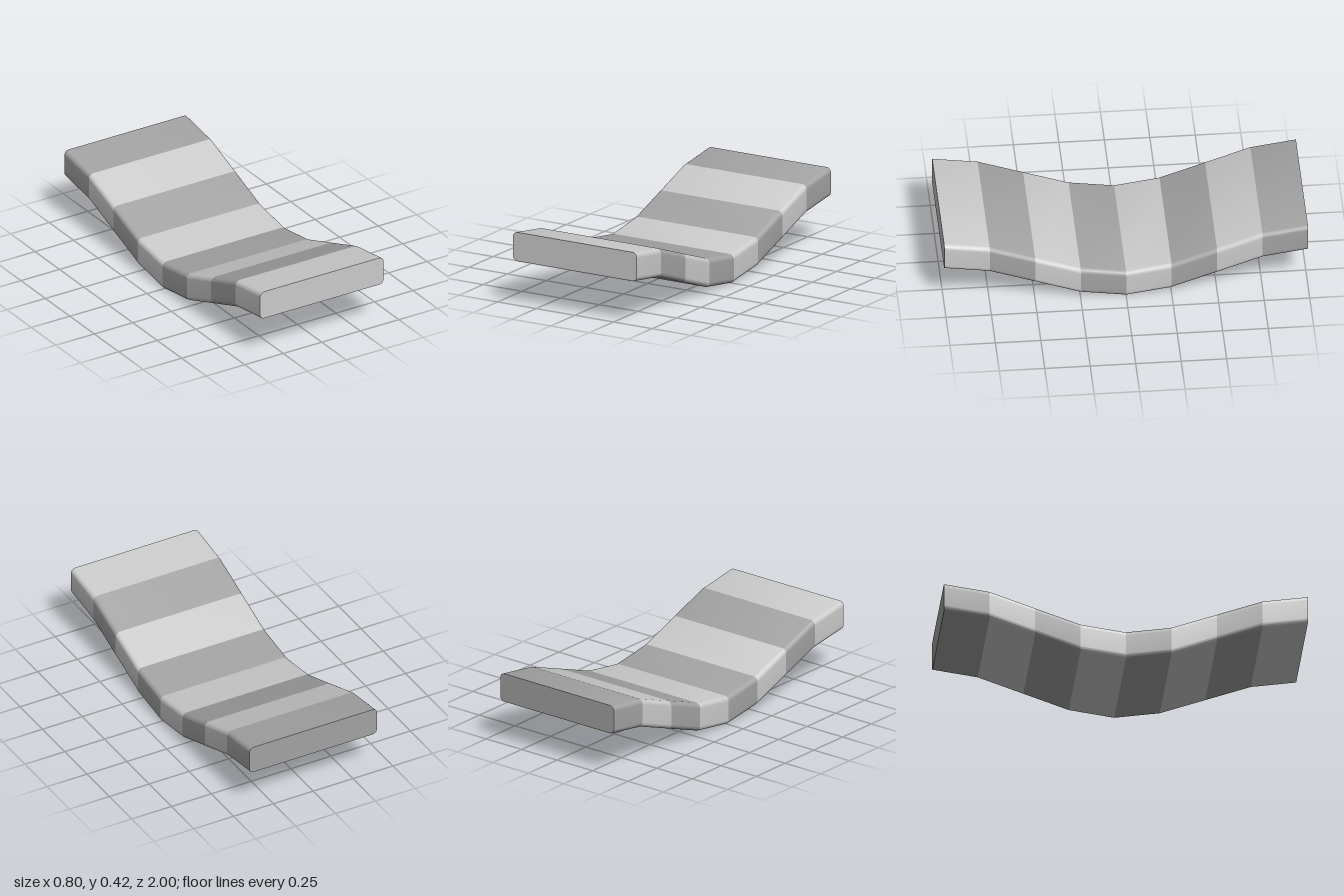
import * as THREE from 'three';
import { toCreasedNormals } from 'three/addons/utils/BufferGeometryUtils.js';

const WIDTH = 0.8, THICKNESS = 0.164, RADIUS = 0.027;
const SEGMENTS = 8, LENGTH = 2 / SEGMENTS;

// Height of the underside: one full wave along the length
const sag = (z) => 0.126 * (1 - Math.cos(Math.PI * z));

// Rounded rectangle standing on y = 0
function crossSection() {
  const w = WIDTH / 2, h = THICKNESS, r = RADIUS;
  const s = new THREE.Shape();
  s.absarc(w - r, r, r, -Math.PI / 2, 0);
  s.absarc(w - r, h - r, r, 0, Math.PI / 2);
  s.absarc(-w + r, h - r, r, Math.PI / 2, Math.PI);
  s.absarc(-w + r, r, r, Math.PI, Math.PI * 1.5);
  s.closePath();
  return s;
}

// Straight slab from z0 to z0 + LENGTH, sheared to follow the wave
function slab(z0) {
  const geo = new THREE.ExtrudeGeometry(crossSection(), {
    depth: LENGTH, bevelEnabled: false, curveSegments: 6,
  });
  const p = geo.attributes.position;
  const y0 = sag(z0), y1 = sag(z0 + LENGTH);
  for (let i = 0; i < p.count; i++) {
    const t = p.getZ(i) / LENGTH;
    p.setY(i, p.getY(i) + y0 + (y1 - y0) * t);
  }
  geo.translate(0, 0, z0);
  return toCreasedNormals(geo, 0.6);
}

export function createModel() {
  const group = new THREE.Group();
  group.name = 'wavyPlank';
  const dark = new THREE.MeshStandardMaterial({ color: 0xa3a3a3 });
  const light = new THREE.MeshStandardMaterial({ color: 0xcccccc });

  // Slabs from back to front in alternating tones
  for (let i = 0; i < SEGMENTS; i++) {
    const mesh = new THREE.Mesh(slab(-1 + i * LENGTH), i % 2 ? light : dark);
    mesh.name = `plankSegment${i + 1}`;
    group.add(mesh);
  }
  return group;
}
